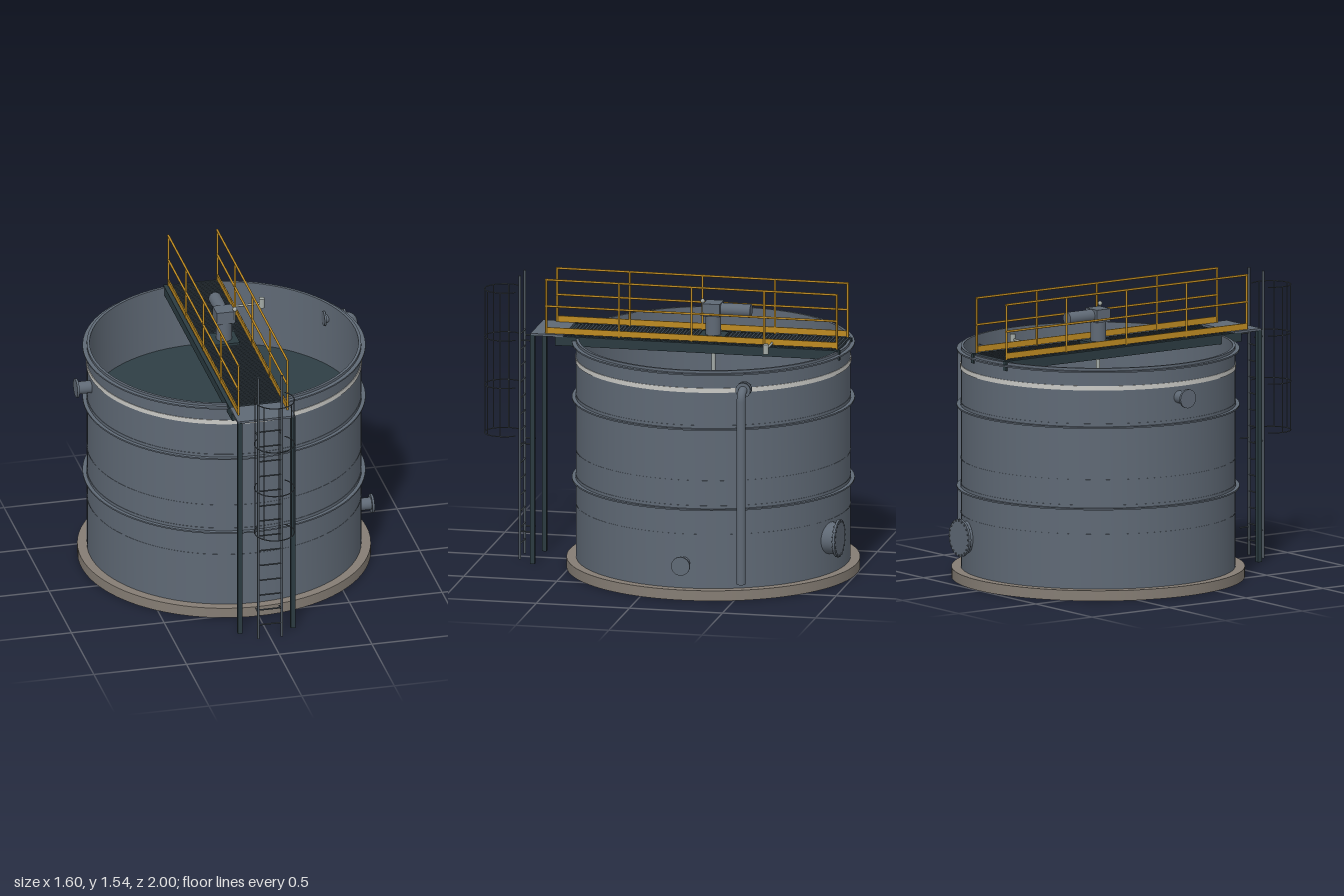
import * as THREE from 'three';
import { toCreasedNormals } from 'three/addons/utils/BufferGeometryUtils.js';

const mat = (name, color, side = THREE.FrontSide) => {
  const m = new THREE.MeshStandardMaterial({ color, side });
  m.name = name;
  return m;
};

export function createModel() {
  const steel = mat('tank steel', 0x5f6975);
  const dark = mat('dark structural steel', 0x2b3b41);
  const liquid = mat('liquid', 0x2f3f45);
  const concrete = mat('concrete', 0x857d74);
  const white = mat('band white', 0xcacac6);
  const yellow = mat('safety yellow', 0xbd8a22);
  const pale = mat('pale metal', 0xa3aaa6);
  const ladderGrey = mat('ladder grey', 0x4d565e);
  const grate = mat('grating', 0x38434b);

  const model = new THREE.Group();
  const CZ = -0.23; // tank axis

  const group = (name, parent = model) => {
    const g = new THREE.Group();
    g.name = name;
    parent.add(g);
    return g;
  };
  const add = (parent, name, geo, m, x = 0, y = 0, z = 0) => {
    const mesh = new THREE.Mesh(geo, m);
    mesh.name = name;
    mesh.position.set(x, y, z);
    parent.add(mesh);
    return mesh;
  };
  const box = (p, name, m, w, h, d, x, y, z) =>
    add(p, name, new THREE.BoxGeometry(w, h, d), m, x, y, z);
  // Round bar between two points
  const rod = (p, name, m, r, a, b, seg = 8) => {
    const A = new THREE.Vector3(...a), d = new THREE.Vector3(...b).sub(A);
    const mesh = add(p, name, new THREE.CylinderGeometry(r, r, d.length(), seg), m);
    mesh.position.copy(A).addScaledVector(d, 0.5);
    mesh.quaternion.setFromUnitVectors(new THREE.Vector3(0, 1, 0), d.normalize());
    return mesh;
  };
  // Rectangular ring section turned around the tank axis
  const ring = (p, name, m, r0, r1, y0, y1) => {
    const pts = [[r0, y0], [r1, y0], [r1, y1], [r0, y1], [r0, y0]]
      .map(([x, y]) => new THREE.Vector2(x, y));
    return add(p, name, toCreasedNormals(new THREE.LatheGeometry(pts, 96), 0.6), m, 0, 0, CZ);
  };

  // Foundation and shell
  add(model, 'foundation', new THREE.CylinderGeometry(0.77, 0.77, 0.055, 96), concrete, 0, 0.0275, CZ);
  const tank = group('tank');
  ring(tank, 'shell', steel, 0.705, 0.72, 0.05, 1.23);
  ring(tank, 'topFlange', steel, 0.715, 0.742, 1.208, 1.216);
  ring(tank, 'whiteBand', white, 0.716, 0.7235, 1.112, 1.136);
  for (const y of [0.915, 0.482]) {
    ring(tank, 'stiffenerFlange', steel, 0.715, 0.742, y - 0.004, y + 0.004);
    ring(tank, 'stiffenerLeg', steel, 0.715, 0.7225, y, y + 0.02);
  }
  for (const y of [0.635, 0.345]) ring(tank, 'weldSeam', steel, 0.716, 0.7215, y - 0.002, y + 0.002);
  add(tank, 'liquidSurface', new THREE.CircleGeometry(0.708, 96).rotateX(-Math.PI / 2), liquid, 0, 0.87, CZ);

  // Side nozzles
  for (const [s, y] of [[-1, 1.055], [1, 0.19]]) {
    const n = group('nozzle');
    rod(n, 'nozzlePipe', steel, 0.033, [s * 0.7, y, CZ], [s * 0.8, y, CZ], 24);
    rod(n, 'nozzleFlange', steel, 0.05, [s * 0.79, y, CZ], [s * 0.802, y, CZ], 24);
  }

  // Overflow pipe with elbow
  const overflow = group('overflowPipe');
  const pz = -0.55, px = 0.775, py = 1.14;
  const path = new THREE.CurvePath();
  const v = (x, y) => new THREE.Vector3(x, y, pz);
  path.add(new THREE.LineCurve3(v(0.62, py), v(px - 0.05, py)));
  path.add(new THREE.QuadraticBezierCurve3(v(px - 0.05, py), v(px, py), v(px, py - 0.05)));
  path.add(new THREE.LineCurve3(v(px, py - 0.05), v(px, 0.105)));
  add(overflow, 'downPipe', new THREE.TubeGeometry(path, 120, 0.023, 20), steel);
  rod(overflow, 'pipeEnd', steel, 0.023, [px, 0.104, pz], [px, 0.12, pz], 20);
  for (const x of [0.612, 0.69, 0.722]) {
    rod(overflow, 'pipeFlange', steel, 0.04, [x, py, pz], [x + 0.01, py, pz], 24);
  }

  // Manway on the back
  const manway = group('manway');
  manway.position.set(0.235, 0.245, -0.955);
  manway.rotation.y = -0.07;
  rod(manway, 'manwayNeck', steel, 0.085, [0, 0, 0.09], [0, 0, 0], 32);
  rod(manway, 'manwayCover', steel, 0.1, [0, 0, 0.006], [0, 0, -0.006], 40);
  for (let i = 0; i < 20; i++) {
    const a = i * Math.PI / 10, x = 0.092 * Math.cos(a), y = 0.092 * Math.sin(a);
    rod(manway, 'bolt', steel, 0.005, [x, y, 0.011], [x, y, -0.011], 6);
  }

  // Bridge across the tank
  const bridge = group('bridge');
  for (const s of [-1, 1]) {
    box(bridge, 'bridgeBeam', dark, 0.024, 0.05, 1.53, s * 0.143, 1.211, -0.178);
    box(bridge, 'gratingBearer', dark, 0.008, 0.02, 1.44, s * 0.06, 1.22, -0.215);
    box(bridge, 'column', dark, 0.024, 1.235, 0.024, s * 0.143, 0.6175, 0.708);
  }
  for (let i = 0; i < 76; i++) {
    box(bridge, 'gratingBar', grate, 0.266, 0.012, 0.011, 0, 1.234, -0.925 + i * 0.0192);
  }
  box(bridge, 'landing', steel, 0.31, 0.012, 0.175, 0, 1.238, 0.63);

  // Handrails, mirrored
  for (const s of [-1, 1]) {
    const rail = group('handrail', bridge), x = s * 0.132;
    for (let i = 0; i < 5; i++) {
      const z = 0.638 - i * 0.39;
      rod(rail, 'railPost', yellow, 0.006, [x, 1.24, z], [x, 1.535, z]);
    }
    for (const y of [1.39, 1.532]) rod(rail, 'railBar', yellow, 0.006, [x, y, 0.643], [x, y, -0.927]);
    box(rail, 'toeBoard', yellow, 0.007, 0.032, 1.566, x, 1.26, -0.142);
  }

  // Mixer drive
  const drive = group('mixerDrive');
  box(drive, 'drivePlate', dark, 0.14, 0.014, 0.14, 0, 1.247, CZ);
  rod(drive, 'drivePedestal', steel, 0.041, [0, 1.25, CZ], [0, 1.365, CZ], 24);
  box(drive, 'gearbox', steel, 0.1, 0.068, 0.09, 0, 1.392, CZ);
  rod(drive, 'motor', steel, 0.034, [0, 1.39, CZ - 0.04], [0, 1.39, -0.433], 24);
  rod(drive, 'mixerShaft', pale, 0.011, [0, 0.86, CZ], [0, 1.245, CZ], 12);
  rod(drive, 'lampStem', pale, 0.004, [0.047, 1.38, -0.183], [0.047, 1.435, -0.183]);
  add(drive, 'lamp', new THREE.SphereGeometry(0.012, 12, 8), pale, 0.047, 1.441, -0.183);

  // Level sensor on its arm
  const sensor = group('levelSensor');
  rod(sensor, 'sensorArm', pale, 0.006, [0.135, 1.255, -0.575], [0.285, 1.255, -0.575]);
  rod(sensor, 'sensorHead', pale, 0.015, [0.287, 1.232, -0.575], [0.287, 1.285, -0.575], 16);

  // Ladder
  const ladder = group('ladder');
  for (const s of [-1, 1]) {
    const x = s * 0.063;
    rod(ladder, 'ladderRail', ladderGrey, 0.007, [x, 0, 0.796], [x, 1.53, 0.796]);
    for (const y of [0.15, 0.625, 1.182]) {
      rod(ladder, 'standoff', ladderGrey, 0.004, [x, y, 0.796], [x, y, 0.738]);
    }
  }
  for (let i = 0; i < 14; i++) {
    const y = 0.08 + i * 0.087;
    rod(ladder, 'rung', ladderGrey, 0.004, [-0.063, y, 0.796], [0.063, y, 0.796], 6);
  }

  // Safety cage: open hoops joined by uprights
  const cage = group('safetyCage'), cz = 0.892, cr = 0.105;
  const arc = 1.5 * Math.PI;
  for (const y of [0.665, 0.925, 1.182, 1.44]) {
    const hoop = add(cage, 'hoop', new THREE.TorusGeometry(cr, 0.003, 6, 36, arc), ladderGrey, 0, y, cz);
    hoop.rotation.set(Math.PI / 2, 0, -Math.PI / 4);
  }
  for (let i = -2; i <= 2; i++) {
    const a = i * Math.PI / 4, x = cr * Math.sin(a), z = cz + cr * Math.cos(a);
    rod(cage, 'cageUpright', ladderGrey, 0.003, [x, 0.665, z], [x, 1.44, z], 6);
  }
  return model;
}
